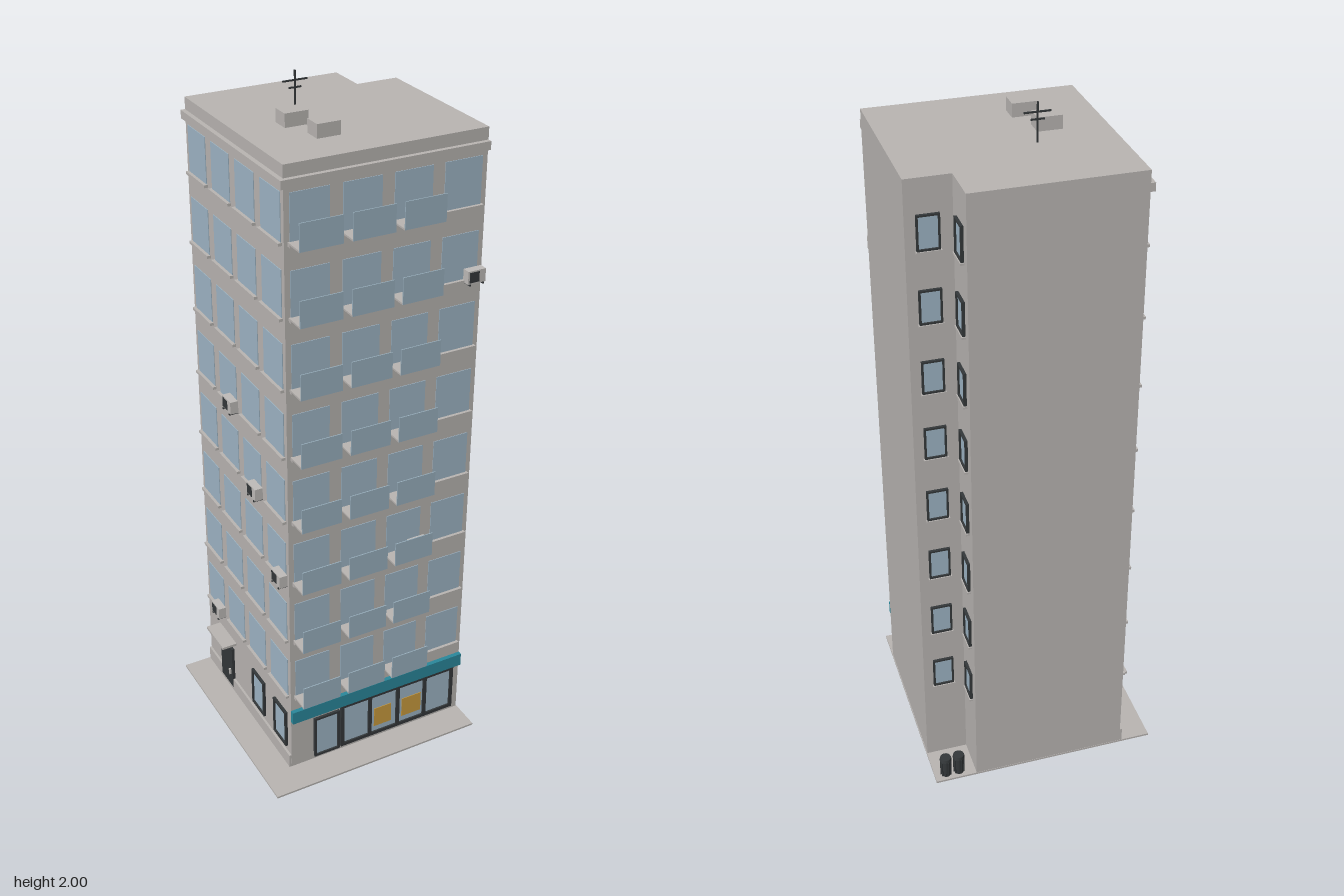
import * as THREE from 'three';

const mat = (name, color, side = THREE.FrontSide) => {
  const m = new THREE.MeshStandardMaterial({ color, side });
  m.name = name;
  return m;
};

export function createModel() {
  const M = {
    wall: mat('concrete grey', 0xbab6b3),
    glass: mat('window blue', 0x9fb6c6),
    rail: mat('balcony glass', 0x9ab1bf),
    dark: mat('dark metal', 0x34383a),
    sign: mat('teal sign', 0x2a899c),
    poster: mat('amber poster', 0xcb9c3e),
    unit: mat('appliance grey', 0xc0bdba),
  };
  const root = new THREE.Group();
  root.name = 'apartmentBlock';

  // Box given by its limits on each axis
  const box = (parent, name, m, x0, x1, y0, y1, z0, z1) => {
    const mesh = new THREE.Mesh(new THREE.BoxGeometry(x1 - x0, y1 - y0, z1 - z0), m);
    mesh.position.set((x0 + x1) / 2, (y0 + y1) / 2, (z0 + z1) / 2);
    mesh.name = name;
    parent.add(mesh);
    return mesh;
  };
  // Group for one wall: local x runs along the wall, local z points outward
  const face = (name, x, z, turn) => {
    const g = new THREE.Group();
    g.name = name;
    g.position.set(x, 0, z);
    g.rotation.y = turn;
    root.add(g);
    return g;
  };

  const FLOORS = 8, STEP = 0.203, BASE = 0.272;
  const columns = [-0.2185, -0.072, 0.0735, 0.219];

  // Pavement and tower with a notched back corner
  box(root, 'pavement', M.wall, -0.337, 0.337, 0, 0.006, -0.337, 0.337);
  const plan = new THREE.Shape([
    [-0.243, -0.243], [0.335, -0.243], [0.335, 0.217], [0.213, 0.217], [0.213, 0.336], [-0.243, 0.336],
  ].map(([x, y]) => new THREE.Vector2(x, y)));
  const tower = new THREE.Mesh(
    new THREE.ExtrudeGeometry(plan, { depth: 1.889, bevelEnabled: false }).rotateX(-Math.PI / 2), M.wall);
  tower.position.y = 0.006;
  tower.name = 'tower';
  root.add(tower);

  // Cornice along the two street walls
  box(root, 'frontCornice', M.wall, -0.256, 0.335, 1.838, 1.861, 0.243, 0.256);
  box(root, 'sideCornice', M.wall, -0.256, -0.243, 1.838, 1.861, -0.336, 0.243);

  const front = face('frontFacade', 0.046, 0.243, 0);
  const side = face('sideFacade', -0.243, -0.0465, -Math.PI / 2);

  // Window grid with sills
  for (const wall of [front, side]) {
    for (let f = 0; f < FLOORS; f++) {
      const y = BASE + f * STEP;
      for (const c of columns) {
        box(wall, 'window', M.glass, c - 0.055, c + 0.055, y, y + 0.13, 0, 0.002);
        box(wall, 'sill', M.wall, c - 0.06, c + 0.06, y - 0.008, y, 0, 0.011);
      }
    }
  }

  // Balconies: thin slab and front panel on the first three columns
  for (let f = 0; f < FLOORS; f++) {
    const y = BASE + f * STEP;
    for (const c of columns.slice(0, 3)) {
      box(front, 'balconySlab', M.wall, c - 0.06, c + 0.06, y - 0.001, y + 0.004, 0, 0.061);
      box(front, 'balconyPanel', M.rail, c - 0.06, c + 0.06, y, y + 0.075, 0.06, 0.063);
    }
  }

  // Air conditioners with fan grille and brackets
  const conditioner = (wall, c, y) => {
    const g = new THREE.Group();
    g.name = 'airConditioner';
    g.position.set(c + 0.04, y, 0);
    wall.add(g);
    box(g, 'unitBody', M.unit, -0.027, 0.027, 0, 0.037, 0.003, 0.027);
    box(g, 'fanGrille', M.dark, -0.022, 0.007, 0.004, 0.033, 0.027, 0.0285);
    for (const x of [-0.02, 0.02]) box(g, 'bracket', M.dark, x - 0.002, x + 0.002, -0.005, 0, 0, 0.029);
  };
  conditioner(front, columns[3], 1.483);
  conditioner(front, columns[0], 1.077);
  conditioner(front, columns[2], 0.673);
  [0.265, 1.077, 0.874, 0.671].forEach((y, i) => conditioner(side, columns[i], y));

  // Framed glass opening on a wall
  const framed = (wall, name, x0, x1, y0, y1, t) => {
    box(wall, name + 'Glass', M.glass, x0 + t, x1 - t, y0 + t, y1 - t, 0, 0.003);
    box(wall, name + 'Jamb', M.dark, x0, x0 + t, y0, y1, 0, 0.008);
    box(wall, name + 'Jamb', M.dark, x1 - t, x1, y0, y1, 0, 0.008);
    box(wall, name + 'Head', M.dark, x0 + t, x1 - t, y1 - t, y1, 0, 0.008);
    box(wall, name + 'Foot', M.dark, x0 + t, x1 - t, y0, y0 + t, 0, 0.008);
  };

  // Shop front (positions relative to the wall centre)
  box(front, 'shopSign', M.sign, -0.289, 0.289, 0.18, 0.222, 0, 0.013);
  framed(front, 'shopDoor', -0.215, -0.13, 0.018, 0.164, 0.007);
  framed(front, 'shopWindow', -0.126, 0.267, 0.02, 0.178, 0.011);
  for (const x of [-0.026, 0.071, 0.166]) box(front, 'mullion', M.dark, x - 0.006, x + 0.006, 0.03, 0.168, 0, 0.008);
  box(front, 'poster', M.poster, -0.01, 0.049, 0.05, 0.118, 0.003, 0.005);
  box(front, 'poster', M.poster, 0.087, 0.154, 0.05, 0.118, 0.003, 0.005);

  // Side entrance with canopy, ground floor windows and plinth
  box(side, 'plinth', M.wall, -0.289, 0.289, 0.006, 0.05, 0, 0.007);
  box(side, 'canopy', M.wall, -0.208, -0.087, 0.196, 0.204, 0, 0.047);
  box(side, 'sideDoor', M.dark, -0.188, -0.106, 0.02, 0.168, 0, 0.009);
  box(side, 'doorHandle', M.unit, -0.122, -0.116, 0.065, 0.085, 0.009, 0.015);
  framed(side, 'groundWindow', 0.036, 0.118, 0.07, 0.198, 0.007);
  framed(side, 'groundWindow', 0.184, 0.266, 0.07, 0.198, 0.007);

  // Framed windows in the two walls of the notch
  const notchX = face('notchWallRight', 0.213, -0.278, Math.PI / 2);
  const notchZ = face('notchWallBack', 0.277, -0.217, Math.PI);
  for (const wall of [notchX, notchZ]) {
    for (let f = 0; f < FLOORS; f++) {
      const y = 0.284 + f * STEP;
      framed(wall, 'notchWindow', -0.03, 0.03, y, y + 0.096, 0.005);
      box(wall, 'notchSill', M.wall, -0.033, 0.033, y - 0.006, y, 0, 0.011);
    }
  }

  // Ribbed bins standing in the notch
  for (const x of [0.262, 0.302]) {
    const bin = new THREE.Group();
    bin.name = 'bin';
    bin.position.set(x, 0.006, -0.313);
    root.add(bin);
    const part = (name, r0, r1, h, y) => {
      const m = new THREE.Mesh(new THREE.CylinderGeometry(r0, r1, h, 16), M.dark);
      m.position.y = y;
      m.name = name;
      bin.add(m);
    };
    part('binBody', 0.016, 0.014, 0.06, 0.03);
    part('binLid', 0.016, 0.018, 0.009, 0.0645);
    for (let i = 0; i < 10; i++) {
      const a = (i / 10) * Math.PI * 2;
      const rib = box(bin, 'binRib', M.dark, -0.0015, 0.0015, 0.003, 0.058, -0.0015, 0.0015);
      rib.position.x = Math.cos(a) * 0.0155;
      rib.position.z = Math.sin(a) * 0.0155;
      rib.rotation.y = -a;
    }
  }

  // Roof boxes and aerial
  box(root, 'roofBox', M.wall, -0.122, -0.055, 1.895, 1.932, -0.037, 0.014);
  box(root, 'roofBox', M.wall, -0.088, -0.022, 1.895, 1.932, 0.07, 0.122);
  box(root, 'aerialPole', M.dark, -0.037, -0.033, 1.895, 2, -0.102, -0.098);
  box(root, 'aerialBar', M.dark, -0.07, 0, 1.972, 1.976, -0.102, -0.098);
  box(root, 'aerialBar', M.dark, -0.053, -0.017, 1.953, 1.957, -0.102, -0.098);

  return root;
}
